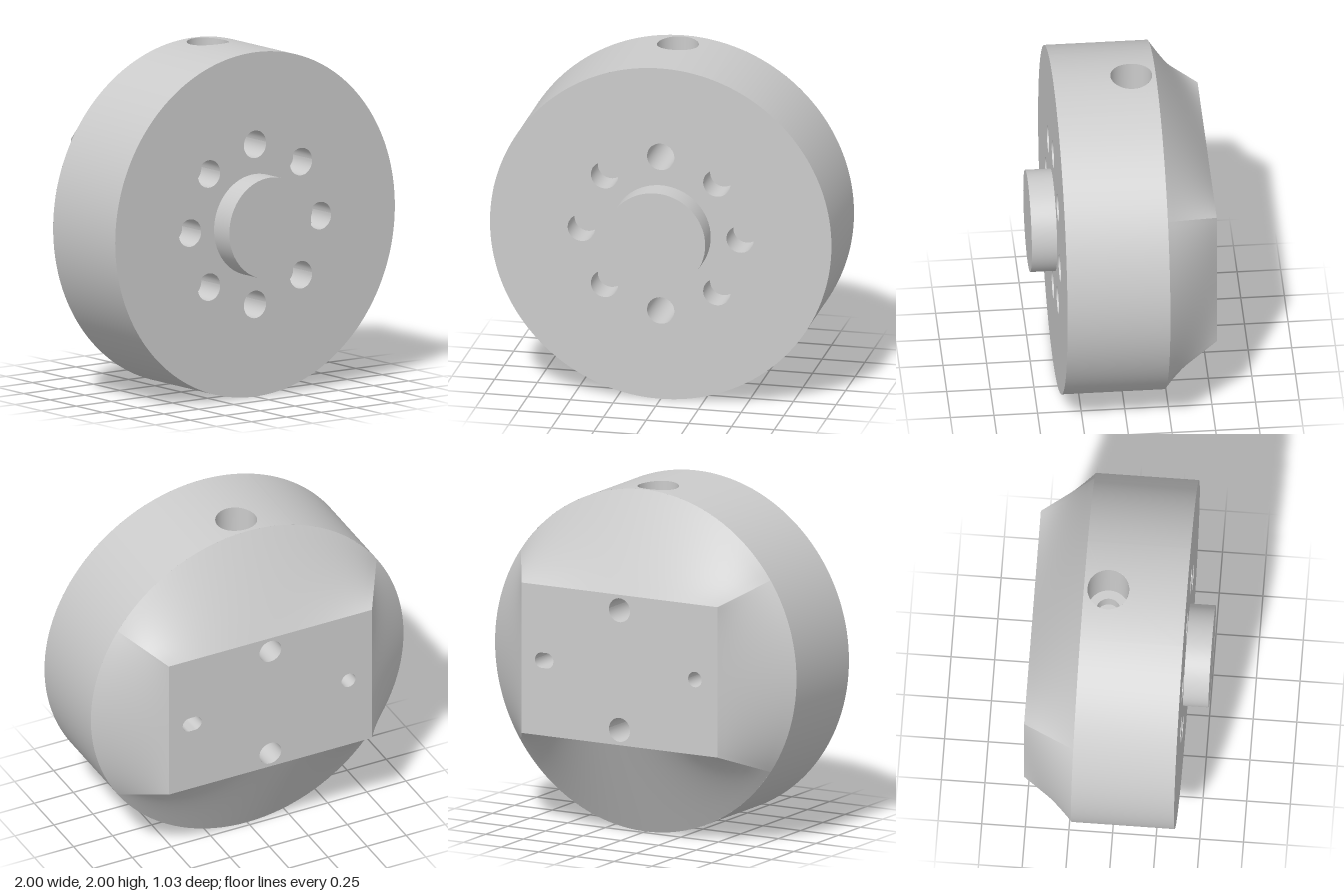
import * as THREE from 'three';

const material = new THREE.MeshStandardMaterial({ color: 0xcccccc, side: THREE.DoubleSide });
const FRONT = 0.37, RIM = -0.22, BACK = -0.515, MID = -0.08;
const HALF_W = 0.65, HALF_H = 0.44;

// Surface from a rule f(u, v) -> [x, y, z]; its front is du x dv
function grid(f, nu, nv) {
  const pos = [], index = [];
  for (let j = 0; j <= nv; j++)
    for (let i = 0; i <= nu; i++) pos.push(...f(i / nu, j / nv));
  for (let j = 0; j < nv; j++)
    for (let i = 0; i < nu; i++) {
      const a = j * (nu + 1) + i, b = a + 1, c = a + nu + 1, d = c + 1;
      index.push(a, b, d, a, d, c);
    }
  const g = new THREE.BufferGeometry();
  g.setAttribute('position', new THREE.Float32BufferAttribute(pos, 3));
  g.setIndex(index);
  g.computeVertexNormals();
  return g;
}

// Outline of a round hole, or of a slot when d > 0
function outline({ x, y, r, d = 0 }, n = 40) {
  return Array.from({ length: n }, (_, i) => {
    const a = ((i + 0.5) / n) * Math.PI * 2;
    return new THREE.Vector2(x + r * Math.cos(a) + Math.sign(Math.cos(a)) * d, y + r * Math.sin(a));
  });
}

// Crescent: circle at y1 with the overlapping circle at y2 taken away
function crescent(y1, r1, y2, r2) {
  const d = Math.abs(y2 - y1), s = Math.sign(y2 - y1);
  const a = (d * d + r1 * r1 - r2 * r2) / (2 * d);
  const t1 = Math.acos(a / r1), t2 = Math.acos((d - a) / r2);
  const pts = [], n = 24;
  for (let i = 0; i <= n; i++) {
    const t = t1 + (i / n) * (2 * Math.PI - 2 * t1);
    pts.push(new THREE.Vector2(r1 * Math.sin(t), y1 + s * r1 * Math.cos(t)));
  }
  for (let i = 1; i < n; i++) {
    const t = -t2 + (i / n) * 2 * t2;
    pts.push(new THREE.Vector2(r2 * Math.sin(t), y2 - s * r2 * Math.cos(t)));
  }
  return new THREE.Shape(pts);
}

export function createModel() {
  const model = new THREE.Group();
  model.position.y = 1;
  const add = (name, geometry, parent = model) => {
    const mesh = new THREE.Mesh(geometry, material);
    mesh.name = name;
    parent.add(mesh);
    return mesh;
  };

  // Walls and floor of a hole running along z
  const bore = (name, hole, z0) => {
    const pts = outline(hole), n = pts.length;
    add(name + 'Wall', grid((u, v) => {
      const p = pts[Math.round(u * n) % n];
      return [p.x, p.y, z0 + (hole.end - z0) * v];
    }, n, 1));
    if (!hole.open) add(name + 'Floor', new THREE.ShapeGeometry(new THREE.Shape(pts))).position.z = hole.end;
  };

  // Front bolt circle: the top and bottom holes break into the back ports
  const frontHoles = [];
  for (let i = 0; i < 8; i++) {
    const a = (i * Math.PI) / 4, port = i % 4 === 2;
    frontHoles.push({
      x: 0.465 * Math.cos(a), y: 0.465 * Math.sin(a),
      r: 0.08, end: port ? MID : FRONT - 0.18, open: port,
    });
  }
  // Back pad: two ports, a locating slot and a locating hole
  const backHoles = [
    { x: 0, y: 0.35, r: 0.07, end: MID, open: true },
    { x: 0, y: -0.35, r: 0.07, end: MID, open: true },
    { x: 0.5, y: 0, r: 0.045, d: 0.016, end: BACK + 0.2 },
    { x: -0.5, y: 0, r: 0.045, end: BACK + 0.2 },
  ];
  frontHoles.forEach(h => bore('frontHole', h, FRONT));
  backHoles.forEach(h => bore('backHole', h, BACK));

  // Shelves where the offset front and back ports meet
  for (const s of [1, -1]) {
    add('portShelf', new THREE.ShapeGeometry(crescent(s * 0.465, 0.08, s * 0.35, 0.07))).position.z = MID;
    add('portShelf', new THREE.ShapeGeometry(crescent(s * 0.35, 0.07, s * 0.465, 0.08))).position.z = MID;
  }

  // Front face
  const face = new THREE.Shape().absarc(0, 0, 1, 0, Math.PI * 2);
  frontHoles.forEach(h => face.holes.push(new THREE.Path(outline(h))));
  add('frontFace', new THREE.ShapeGeometry(face, 128)).position.z = FRONT;

  // Centre boss
  const boss = add('centreBoss', new THREE.CylinderGeometry(0.293, 0.293, 0.145, 64));
  boss.rotation.x = Math.PI / 2;
  boss.position.z = FRONT + 0.0725;

  // Rectangular back pad
  const pad = new THREE.Shape([[-1, -1], [1, -1], [1, 1], [-1, 1]].map(
    ([x, y]) => new THREE.Vector2(x * HALF_W, y * HALF_H)));
  backHoles.forEach(h => pad.holes.push(new THREE.Path(outline(h))));
  const padGeometry = new THREE.ShapeGeometry(pad).rotateY(Math.PI);
  padGeometry.scale(-1, 1, 1);
  // Undo the mirroring of the corner order
  const idx = padGeometry.index.array;
  for (let i = 0; i < idx.length; i += 3) [idx[i], idx[i + 1]] = [idx[i + 1], idx[i]];
  padGeometry.computeVertexNormals();
  add('backPad', padGeometry).position.z = BACK;

  // Tapered sides blending the round rim into the pad
  const corner = Math.atan2(HALF_H, HALF_W);
  const angles = [-corner, corner, Math.PI - corner, Math.PI + corner, 2 * Math.PI - corner];
  const corners = [[1, -1], [1, 1], [-1, 1], [-1, -1], [1, -1]];
  for (let k = 0; k < 4; k++) {
    add('taperedSide', grid((u, v) => {
      const t = 1 - u, a = THREE.MathUtils.lerp(angles[k], angles[k + 1], t);
      const x = HALF_W * THREE.MathUtils.lerp(corners[k][0], corners[k + 1][0], t);
      const y = HALF_H * THREE.MathUtils.lerp(corners[k][1], corners[k + 1][1], t);
      return [
        THREE.MathUtils.lerp(Math.cos(a), x, v),
        THREE.MathUtils.lerp(Math.sin(a), y, v),
        THREE.MathUtils.lerp(RIM, BACK, v),
      ];
    }, 36, 8));
  }

  // Rim wall and counterbored radial holes, repeated by a half turn
  const P = 0.3, R = 0.12, ring = [], n = 16;
  const box = [[P, RIM], [P, FRONT], [-P, FRONT], [-P, RIM]];
  for (let k = 0; k < 4; k++)
    for (let i = 0; i < n; i++) {
      const [a, b] = [box[k], box[(k + 1) % 4]];
      ring.push([a[0] + (b[0] - a[0]) * i / n, a[1] + (b[1] - a[1]) * i / n]);
    }
  const span = Math.PI / 2 - Math.asin(P);
  for (const turn of [0, Math.PI]) {
    const half = new THREE.Group();
    half.name = 'rimHalf';
    half.rotation.z = turn;
    model.add(half);
    add('rimWall', grid((u, v) => {
      const a = span * (2 * u - 1);
      return [Math.cos(a), Math.sin(a), RIM + (FRONT - RIM) * v];
    }, 60, 1), half);
    add('rimAroundHole', grid((u, v) => {
      const [bx, bz] = ring[Math.round(u * ring.length) % ring.length];
      const a = Math.atan2(bz - MID, bx);
      const x = THREE.MathUtils.lerp(R * Math.cos(a), bx, v);
      const z = THREE.MathUtils.lerp(MID + R * Math.sin(a), bz, v);
      return [x, Math.sqrt(1 - x * x), z];
    }, ring.length, 8), half);
    // Stepped hole: wide bore, ledge, narrow bore, floor
    const steps = [[0, 0.555], [0.07, 0.555], [0.07, 0.65], [R, 0.65]];
    for (let i = 0; i < 3; i++) {
      const pts = [steps[i], steps[i + 1]].map(p => new THREE.Vector2(...p));
      add('radialHole', new THREE.LatheGeometry(pts, 48), half).position.z = MID;
    }
    add('radialHole', grid((u, v) => {
      const a = u * 2 * Math.PI, x = R * Math.cos(a);
      return [x, THREE.MathUtils.lerp(0.65, Math.sqrt(1 - x * x), v), MID + R * Math.sin(a)];
    }, 48, 1), half);
  }

  const root = new THREE.Group();
  root.name = 'flangedAdapter';
  root.add(model);
  return root;
}
